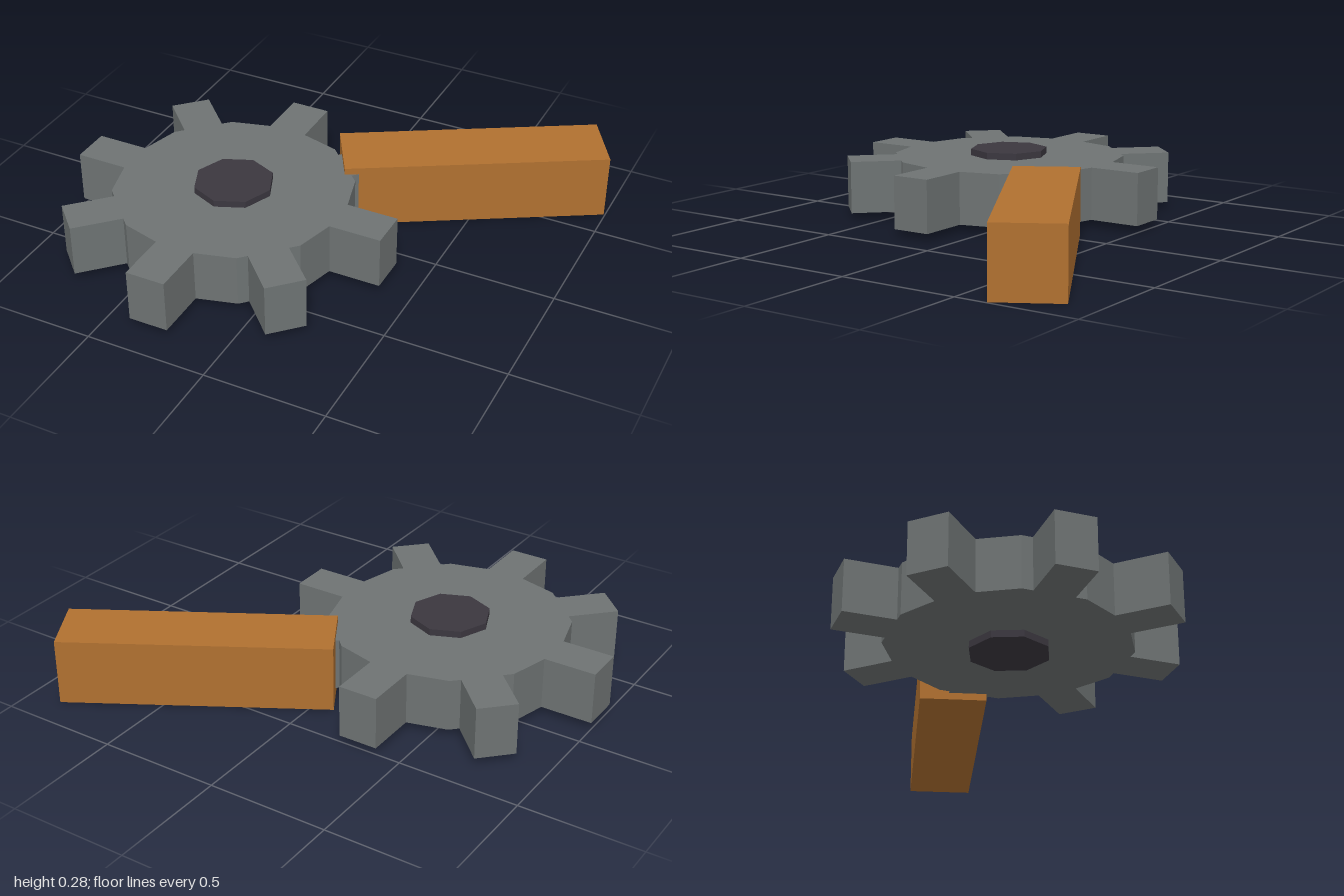
import * as THREE from 'three';

const material = (name, color) => {
  const m = new THREE.MeshStandardMaterial({ color });
  m.name = name;
  return m;
};

// Twelve-sided disc outline with eight square teeth
function gearOutline(radius, tip, halfWidth) {
  const points = [];
  const polar = (along, across, angle) => points.push(new THREE.Vector2(along, across).rotateAround(new THREE.Vector2(), angle));
  const edge = Math.PI / 12;
  for (let i = 0; i < 8; i++) {
    const angle = i * Math.PI / 4;
    // Even teeth sit on a disc corner, odd teeth on the middle of a side
    const root = i % 2 ? radius * Math.cos(edge) : radius - halfWidth * Math.tan(edge);
    polar(root, -halfWidth, angle);
    polar(tip, -halfWidth, angle);
    polar(tip, halfWidth, angle);
    polar(root, halfWidth, angle);
    // Disc corner between this tooth and the next
    polar(radius, 0, angle + (i % 2 ? edge : 2 * edge));
  }
  return new THREE.Shape(points);
}

export function createModel() {
  const model = new THREE.Group();
  const iron = material('grey iron', 0x6e7373);
  const dark = material('dark metal', 0x3b373f);
  const wood = material('brown wood', 0xb07030);

  const add = (name, geometry, mat, x, y, z) => {
    const mesh = new THREE.Mesh(geometry, mat);
    mesh.name = name;
    mesh.position.set(x, y, z);
    model.add(mesh);
    return mesh;
  };

  // Gear wheel lying flat
  const gear = new THREE.ExtrudeGeometry(gearOutline(0.49, 0.685, 0.082), { depth: 0.218, bevelEnabled: false });
  gear.rotateX(-Math.PI / 2);
  add('gear', gear, iron, -0.315, 0.029, 0.182);

  // Octagonal axle through the gear
  const axle = new THREE.CylinderGeometry(0.164, 0.164, 0.275, 8).toNonIndexed();
  axle.computeVertexNormals();
  add('axle', axle, dark, -0.315, 0.1375, 0.182);

  // Wooden beam jammed into the back tooth
  const beam = add('beam', new THREE.BoxGeometry(1.091, 0.275, 0.273), wood, 0.454, 0.1375, -0.479);
  beam.rotation.y = Math.PI / 6;

  return model;
}
